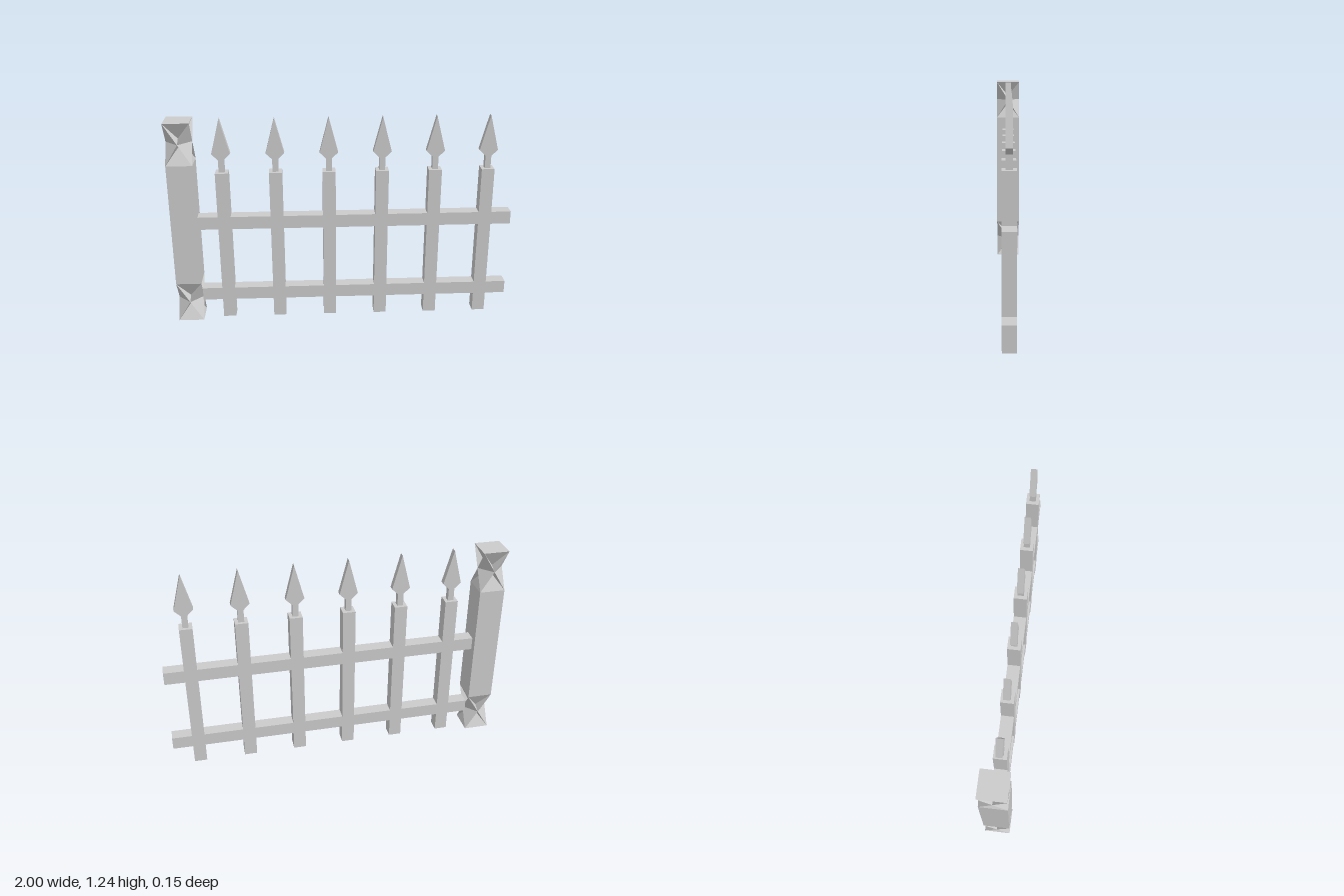
import * as THREE from 'three';

const material = new THREE.MeshStandardMaterial({ color: 0xcccccc, flatShading: true, side: THREE.DoubleSide });

function addMesh(parent, name, geometry, x, y, z) {
  const mesh = new THREE.Mesh(geometry, material);
  mesh.name = name;
  mesh.position.set(x, y, z);
  parent.add(mesh);
  return mesh;
}

// Box given by its centre x, bottom, top, width and depth
function addBox(parent, name, x, y0, y1, w, d) {
  return addMesh(parent, name, new THREE.BoxGeometry(w, y1 - y0, d), x, (y0 + y1) / 2, 0);
}

// Pinched block: square ends, a diamond waist and a faceted dent in each side
function facetedBlock(rx, rz, h) {
  const points = [];
  const add = (...corners) => corners.forEach(([x, y, z]) => points.push(x * rx, y * h, z * rz));
  const turn = ([x, y, z], k) => {
    for (let i = 0; i < k; i++) [x, z] = [z, -x];
    return [x, y, z];
  };
  for (const s of [1, -1]) {
    const tri = (a, b, c) => (s > 0 ? add(a, b, c) : add(a, c, b));
    for (let k = 0; k < 4; k++) {
      const left = turn([-1, s, 1], k);
      const right = turn([1, s, 1], k);
      const tip = turn([0, 0, 1], k);
      const nextTip = turn([0, 0, 1], k + 1);
      const dent = turn([0, s * 0.2, 0.35], k);
      tri(left, dent, right);
      tri(left, tip, dent);
      tri(right, dent, tip);
      tri(right, tip, nextTip);
      tri([0, s, 0], left, right);
    }
  }
  const geometry = new THREE.BufferGeometry();
  geometry.setAttribute('position', new THREE.Float32BufferAttribute(points, 3));
  geometry.computeVertexNormals();
  return geometry;
}

// Flat spear head with its neck
function spearGeometry() {
  const shape = new THREE.Shape([
    [-0.017, 0.925], [0.017, 0.925], [0.017, 1.0], [0.053, 1.035],
    [0, 1.24], [-0.053, 1.035], [-0.017, 1.0],
  ].map(([x, y]) => new THREE.Vector2(x, y)));
  return new THREE.ExtrudeGeometry(shape, { depth: 0.036, bevelEnabled: false }).translate(0, 0, -0.018);
}

export function createModel() {
  const model = new THREE.Group();
  model.name = 'fenceSection';

  // End post with a faceted foot and cap
  const post = new THREE.Group();
  post.name = 'endPost';
  model.add(post);
  const postX = -0.925;
  addBox(post, 'postShaft', postX, 0.246, 0.987, 0.15, 0.154);
  const block = facetedBlock(0.075, 0.077, 0.123);
  addMesh(post, 'postFoot', block, postX, 0.123, 0);
  addMesh(post, 'postCap', block, postX, 1.11, 0);

  // Horizontal rails
  addBox(model, 'lowerRail', 0.075, 0.117, 0.194, 1.85, 0.075);
  addBox(model, 'upperRail', 0.075, 0.58, 0.657, 1.85, 0.075);

  // Pickets with spear heads
  const spear = spearGeometry();
  for (let i = 0; i < 6; i++) {
    const picket = new THREE.Group();
    picket.name = 'picket' + (i + 1);
    const x = -0.695 + i * 0.308;
    addBox(picket, 'picketBar', x, 0, 0.925, 0.075, 0.075);
    addMesh(picket, 'spearHead', spear, x, 0, 0);
    model.add(picket);
  }
  return model;
}
